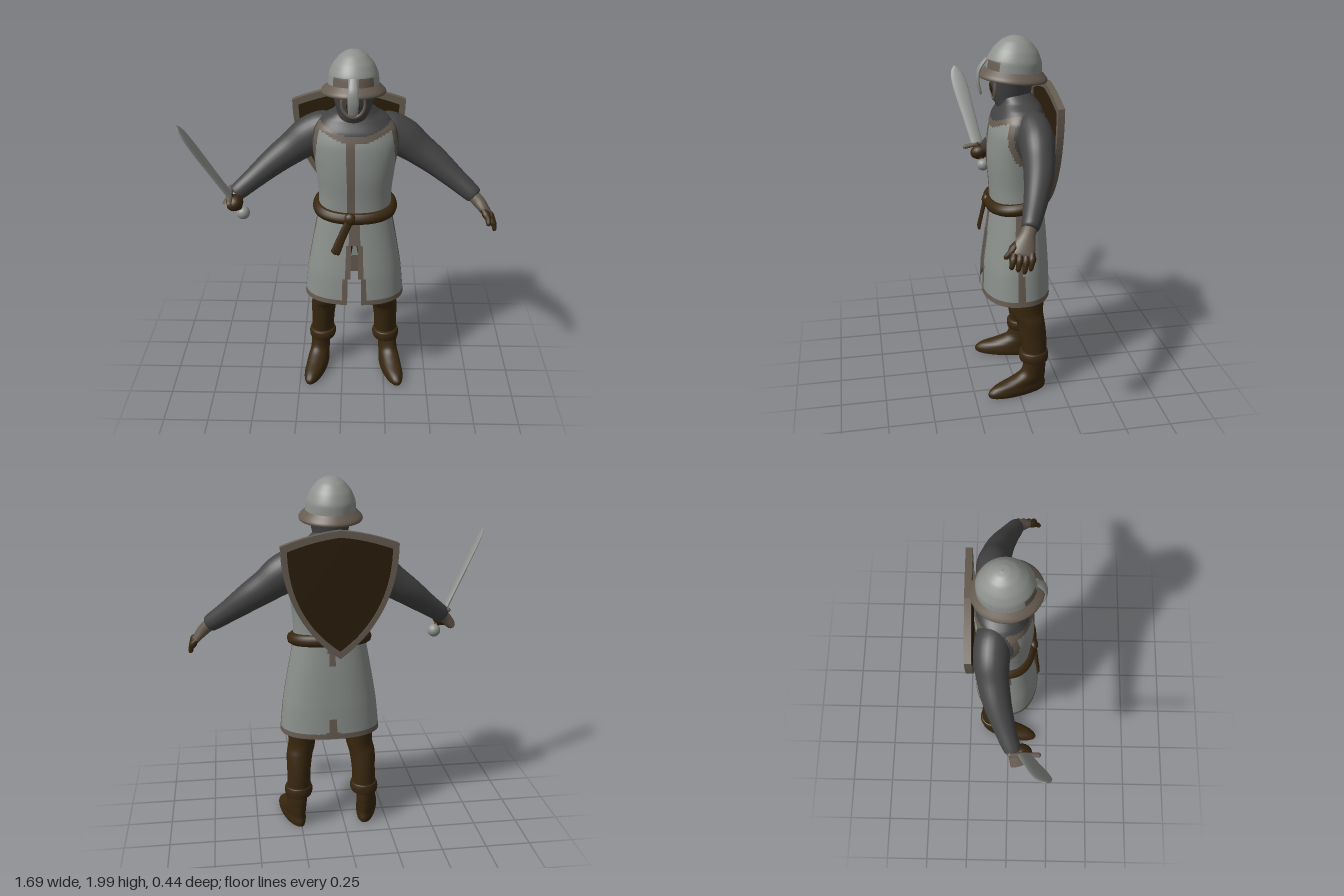
import * as THREE from 'three';

const material = (name, color) => {
  const m = new THREE.MeshStandardMaterial({ color, side: THREE.DoubleSide });
  m.name = name;
  return m;
};

export function createModel() {
  const model = new THREE.Group();
  const cloth = material('grey cloth', 0x8b908c);
  const steel = material('steel', 0x8e918d);
  const trim = material('taupe trim', 0x665c51);
  const mail = material('dark mail', 0x434344);
  const leather = material('brown leather', 0x38270f);
  const wood = material('dark wood', 0x2b1e0b);
  const CX = 0.07; // body centre line

  const add = (name, geometry, mat, parent = model) => {
    const mesh = new THREE.Mesh(geometry, mat);
    mesh.name = name;
    parent.add(mesh);
    return mesh;
  };

  // Smooth skin through rings [x, y, z, halfWidth, halfDepth]; "paint" may pick a material per face, or null for a gap
  function loft(name, rings, mat, { flat = true, around = 28, rows = 20, power = 1, paint, parent } = {}) {
    const path = new THREE.CatmullRomCurve3(rings.map(r => new THREE.Vector3(r[0], r[1], r[2])));
    const size = new THREE.CatmullRomCurve3(rings.map(r => new THREE.Vector3(r[3], r[4], 0)));
    const pos = [], P = [];
    const Z = new THREE.Vector3(0, 0, 1);
    const bend = v => Math.sign(v) * Math.abs(v) ** power;
    for (let j = 0; j <= rows; j++) {
      const t = j / rows, c = path.getPoint(t), s = size.getPoint(t);
      const T = flat ? new THREE.Vector3(0, 1, 0) : path.getTangent(t);
      const A = new THREE.Vector3().crossVectors(T, Z).normalize();
      const B = new THREE.Vector3().crossVectors(A, T);
      for (let i = 0; i < around; i++) {
        const a = (i / around) * Math.PI * 2;
        const p = c.clone().addScaledVector(A, s.x * bend(Math.sin(a))).addScaledVector(B, s.y * bend(Math.cos(a)));
        P.push(p);
        pos.push(p.x, p.y, p.z);
      }
    }
    const faces = new Map();
    for (let j = 0; j < rows; j++) for (let i = 0; i < around; i++) {
      const a = j * around + i, b = j * around + (i + 1) % around, c = b + around, d = a + around;
      const mid = P[a].clone().add(P[b]).add(P[c]).add(P[d]).multiplyScalar(0.25);
      const m = paint ? paint(mid) : mat;
      if (!m) continue;
      if (!faces.has(m)) faces.set(m, []);
      faces.get(m).push(a, b, c, a, c, d);
    }
    const g = new THREE.BufferGeometry();
    g.setAttribute('position', new THREE.Float32BufferAttribute(pos, 3));
    g.setIndex([...faces.values()].flat());
    let start = 0;
    [...faces.values()].forEach((f, k) => { g.addGroup(start, f.length, k); start += f.length; });
    g.computeVertexNormals();
    return add(name, g, [...faces.keys()], parent);
  }

  // Tabard body: neckline, armholes and centre stripe in trim
  loft('tabardTorso', [
    [CX, 1.06, -0.025, 0.2, 0.142], [CX, 1.2, -0.025, 0.2, 0.148], [CX, 1.35, -0.022, 0.215, 0.155],
    [CX, 1.5, -0.028, 0.235, 0.152], [CX, 1.58, -0.035, 0.222, 0.138], [CX, 1.635, -0.04, 0.175, 0.115],
    [CX, 1.665, -0.035, 0.125, 0.098], [CX - 0.01, 1.71, -0.015, 0.085, 0.08],
  ], cloth, {
    around: 112, rows: 64, power: 0.88, paint: p => {
      const dx = p.x - CX;
      const arm = Math.abs(dx) > 0.12 ? Math.hypot((p.z + 0.07) / 0.095, (p.y - 1.51) / 0.13) : 9;
      const neck = p.y - (p.z > -0.04 ? 1.565 : 1.59) - 1.6 * dx * dx;
      if (arm < 1 || neck > 0) return mail;
      if (arm < 1.32 || neck > -0.035) return trim;
      return Math.abs(dx + 0.018) < 0.024 ? trim : cloth;
    },
  });

  // Skirt with an open front slit, hem and side bands
  loft('tabardSkirt', [
    [CX, 0.575, -0.015, 0.282, 0.19], [CX, 0.75, -0.016, 0.264, 0.182],
    [CX, 0.95, -0.022, 0.23, 0.162], [CX, 1.11, -0.025, 0.2, 0.145],
  ], cloth, {
    around: 128, rows: 54, power: 0.85, paint: p => {
      const dx = p.x - CX;
      const front = Math.abs(dx) - 0.045 * Math.max(0, 1.03 - p.y) / 0.45;
      if (p.z > 0.05 && front < 0) return null;
      if (p.y < 0.608 || (p.z > 0.05 && front < 0.03)) return trim;
      if (Math.abs(dx) > 0.15 && Math.abs(p.z + 0.005) < 0.018) return trim;
      if (p.z < -0.05 && Math.abs(dx) < Math.max(0.03 * (0.73 - p.y) / 0.12, 0.022 * (p.y - 0.96) / 0.1)) return trim;
      return cloth;
    },
  });

  // Belt with knot and hanging end
  const belt = new THREE.Group();
  belt.name = 'belt';
  belt.position.set(CX, 1.118, -0.025);
  belt.rotation.x = 0.15;
  model.add(belt);
  loft('beltBand', [
    [0, -0.034, 0, 0.195, 0.142], [0, -0.032, 0, 0.211, 0.157], [0, 0.032, 0, 0.211, 0.157], [0, 0.034, 0, 0.195, 0.142],
  ], leather, { parent: belt, around: 48, rows: 12, power: 0.88 });
  const knot = add('beltKnot', new THREE.SphereGeometry(0.036, 16, 12), leather);
  knot.position.set(0.045, 1.1, 0.135);
  knot.scale.z = 0.7;
  loft('beltEnd', [
    [-0.04, 0.9, 0.167, 0.006, 0.004], [-0.035, 0.91, 0.167, 0.027, 0.009],
    [0.0, 1.0, 0.155, 0.024, 0.009], [0.045, 1.1, 0.142, 0.022, 0.01],
  ], leather, { flat: false, around: 14 });

  // Head in its hood
  loft('hoodedHead', [
    [0.06, 1.62, -0.02, 0.1, 0.09], [0.06, 1.67, -0.005, 0.09, 0.1], [0.06, 1.72, 0, 0.1, 0.108],
    [0.06, 1.8, -0.005, 0.115, 0.118], [0.06, 1.87, -0.01, 0.11, 0.115],
  ], mail);
  const face = add('face', new THREE.SphereGeometry(0.05, 20, 14), wood);
  face.position.set(0.058, 1.74, 0.072);
  face.scale.set(1.05, 1.3, 0.85);
  const faceEdge = add('faceEdge', new THREE.TorusGeometry(0.06, 0.009, 8, 28), trim);
  faceEdge.position.set(0.058, 1.742, 0.092);
  faceEdge.scale.y = 1.2;

  // Helmet, tipped slightly back
  const helmet = new THREE.Group();
  helmet.name = 'helmet';
  helmet.position.set(0.058, 1.8, -0.012);
  helmet.rotation.x = -0.1;
  model.add(helmet);
  loft('helmetDome', [
    [0, 0, 0, 0.137, 0.15], [0, 0.07, 0, 0.131, 0.144], [0, 0.125, 0, 0.108, 0.118],
    [0, 0.17, 0, 0.07, 0.077], [0, 0.193, 0, 0.032, 0.035], [0, 0.199, 0, 0.001, 0.001],
  ], steel, {
    parent: helmet, around: 64, rows: 30,
    paint: p => (p.z > 0 && p.y < 0.065 && Math.abs(p.x) < 0.105 && Math.abs(p.x) > 0.022 ? trim : steel),
  });
  loft('helmetBrim', [
    [0, -0.01, 0, 0.13, 0.143], [0, -0.027, 0, 0.168, 0.18], [0, -0.016, 0, 0.171, 0.183], [0, 0.024, 0, 0.136, 0.149],
  ], trim, { parent: helmet, around: 48, rows: 12 });
  loft('noseGuard', [
    [0.058, 1.695, 0.158, 0.004, 0.003], [0.058, 1.71, 0.163, 0.024, 0.008], [0.058, 1.77, 0.175, 0.029, 0.009],
    [0.058, 1.83, 0.167, 0.026, 0.01], [0.058, 1.885, 0.128, 0.02, 0.008],
  ], steel, { flat: false, around: 16 });

  // Arms, gloves' cuffs, legs and boots on both sides
  for (const m of [1, -1]) {
    const side = m > 0 ? 'left' : 'right';
    const at = rows => rows.map(([dx, ...r]) => [CX + m * dx, ...r]);
    loft(side + 'Sleeve', at([
      [0.1, 1.555, -0.065, 0.07, 0.065], [0.17, 1.545, -0.08, 0.1, 0.09], [0.25, 1.5, -0.085, 0.106, 0.093],
      [0.34, 1.435, -0.077, 0.09, 0.083], [0.43, 1.372, -0.058, 0.078, 0.075], [0.55, 1.28, -0.015, 0.06, 0.058],
      [0.652, 1.203, 0.03, 0.046, 0.043], [0.658, 1.198, 0.033, 0.02, 0.02],
    ]), mail, { flat: false, rows: 32 });
    loft(side + 'GloveCuff', at([
      [0.63, 1.215, 0.022, 0.034, 0.034], [0.67, 1.18, 0.045, 0.034, 0.038],
      [0.705, 1.14, 0.067, 0.028, 0.052], [0.735, 1.1, 0.08, 0.02, 0.055], [0.742, 1.09, 0.083, 0.004, 0.02],
    ].slice(0, m > 0 ? 5 : 3)), trim, { flat: false, around: 18 });

    loft(side + 'Leg', at([
      [0.14, 0.2, -0.1, 0.05, 0.06], [0.19, 0.24, -0.1, 0.066, 0.068], [0.187, 0.34, -0.09, 0.067, 0.076],
      [0.18, 0.44, -0.075, 0.074, 0.08], [0.167, 0.49, -0.058, 0.076, 0.092], [0.162, 0.58, -0.055, 0.079, 0.1],
      [0.125, 0.78, -0.045, 0.105, 0.11], [0.095, 0.97, -0.035, 0.1, 0.1],
    ].map((r, k) => (k ? r : [0.195, ...r.slice(1)]))), leather, { rows: 36 });
    loft(side + 'BootCuff', at([
      [0.192, 0.19, -0.097, 0.055, 0.06], [0.192, 0.195, -0.096, 0.074, 0.08], [0.19, 0.225, -0.094, 0.08, 0.084],
      [0.19, 0.25, -0.094, 0.074, 0.08], [0.19, 0.256, -0.094, 0.055, 0.06],
    ]), leather);
    const boot = loft(side + 'Boot', at([
      [0.2, 0.004, 0, 0.002, 0.002], [0.2, 0.006, 0.005, 0.055, 0.165], [0.2, 0.03, 0.007, 0.061, 0.172],
      [0.2, 0.06, -0.005, 0.059, 0.155], [0.202, 0.092, -0.05, 0.057, 0.112], [0.202, 0.13, -0.088, 0.054, 0.075],
      [0.202, 0.22, -0.1, 0.056, 0.062],
    ]), leather, { rows: 36 });
    // turn the toes outward
    const v = boot.geometry.attributes.position;
    for (let i = 0; i < v.count; i++) v.setX(i, v.getX(i) + m * (v.getZ(i) + 0.1) * 0.22);
    boot.geometry.computeVertexNormals();
  }

  // Open left hand
  const finger = (name, a, b, r) => loft(name, [
    [...a, r, r], [...a.map((c, i) => (c + b[i]) / 2 + (i ? 0 : 0.008)), r, r],
    [...a.map((c, i) => c * 0.1 + b[i] * 0.9), r * 0.8, r * 0.8], [...b, 0.002, 0.002],
  ], leather, { flat: false, around: 10, rows: 10 });
  for (let i = 0; i < 4; i++)
    finger('leftFinger', [0.8, 1.11, 0.036 + 0.029 * i], [0.842 - 0.005 * Math.abs(i - 1), 1.02 + 0.012 * Math.abs(i - 1), 0.05 + 0.031 * i], 0.0145);
  finger('leftThumb', [0.765, 1.15, 0.1], [0.795, 1.085, 0.168], 0.016);

  // Sword along its own y axis, from pommel to tip
  const sword = new THREE.Group();
  sword.name = 'sword';
  sword.position.set(-0.545, 1.1, 0.062);
  sword.quaternion.setFromUnitVectors(new THREE.Vector3(0, 1, 0), new THREE.Vector3(-0.3, 0.558, 0.128).normalize());
  model.add(sword);
  add('pommel', new THREE.SphereGeometry(0.037, 20, 14), steel, sword);
  add('grip', new THREE.CylinderGeometry(0.016, 0.016, 0.14, 12), leather, sword).position.y = 0.07;
  const fist = add('rightFist', new THREE.SphereGeometry(0.052, 18, 14), leather, sword);
  fist.position.set(-0.004, 0.083, 0);
  fist.scale.set(0.95, 0.85, 1.05);
  const guard = add('crossGuard', new THREE.CapsuleGeometry(0.014, 0.15, 4, 12), trim, sword);
  guard.position.y = 0.135;
  guard.rotation.x = Math.PI / 2;
  loft('blade', [
    [0, 0.13, 0, 0.013, 0.036], [0, 0.3, 0, 0.012, 0.041], [0, 0.48, 0, 0.011, 0.047],
    [0, 0.57, 0, 0.009, 0.042], [0, 0.62, 0, 0.006, 0.026], [0, 0.645, 0, 0.001, 0.002],
  ], steel, { parent: sword, around: 16, rows: 24 });

  // Shield slung on the back
  const outline = (k, Kind = THREE.Shape) => {
    const s = new Kind(), X = x => x * k, Y = y => 1.42 + (y - 1.42) * k;
    s.moveTo(X(-0.31), Y(1.67));
    s.quadraticCurveTo(X(-0.15), Y(1.73), 0, Y(1.745));
    s.quadraticCurveTo(X(0.15), Y(1.73), X(0.31), Y(1.67));
    s.bezierCurveTo(X(0.31), Y(1.42), X(0.21), Y(1.2), 0, Y(1.05));
    s.bezierCurveTo(X(-0.21), Y(1.2), X(-0.31), Y(1.42), X(-0.31), Y(1.67));
    return s;
  };
  const shield = new THREE.Group();
  shield.name = 'shield';
  shield.position.set(0.032, 0, -0.218);
  shield.rotation.y = 0.02;
  model.add(shield);
  const rim = outline(1);
  rim.holes.push(outline(0.89, THREE.Path));
  add('shieldRim', new THREE.ExtrudeGeometry(rim, { depth: 0.035, bevelEnabled: false, curveSegments: 20 }), trim, shield);
  add('shieldPanel', new THREE.ExtrudeGeometry(outline(0.9), { depth: 0.022, bevelEnabled: false, curveSegments: 20 }), wood, shield).position.z = 0.005;

  return model;
}
